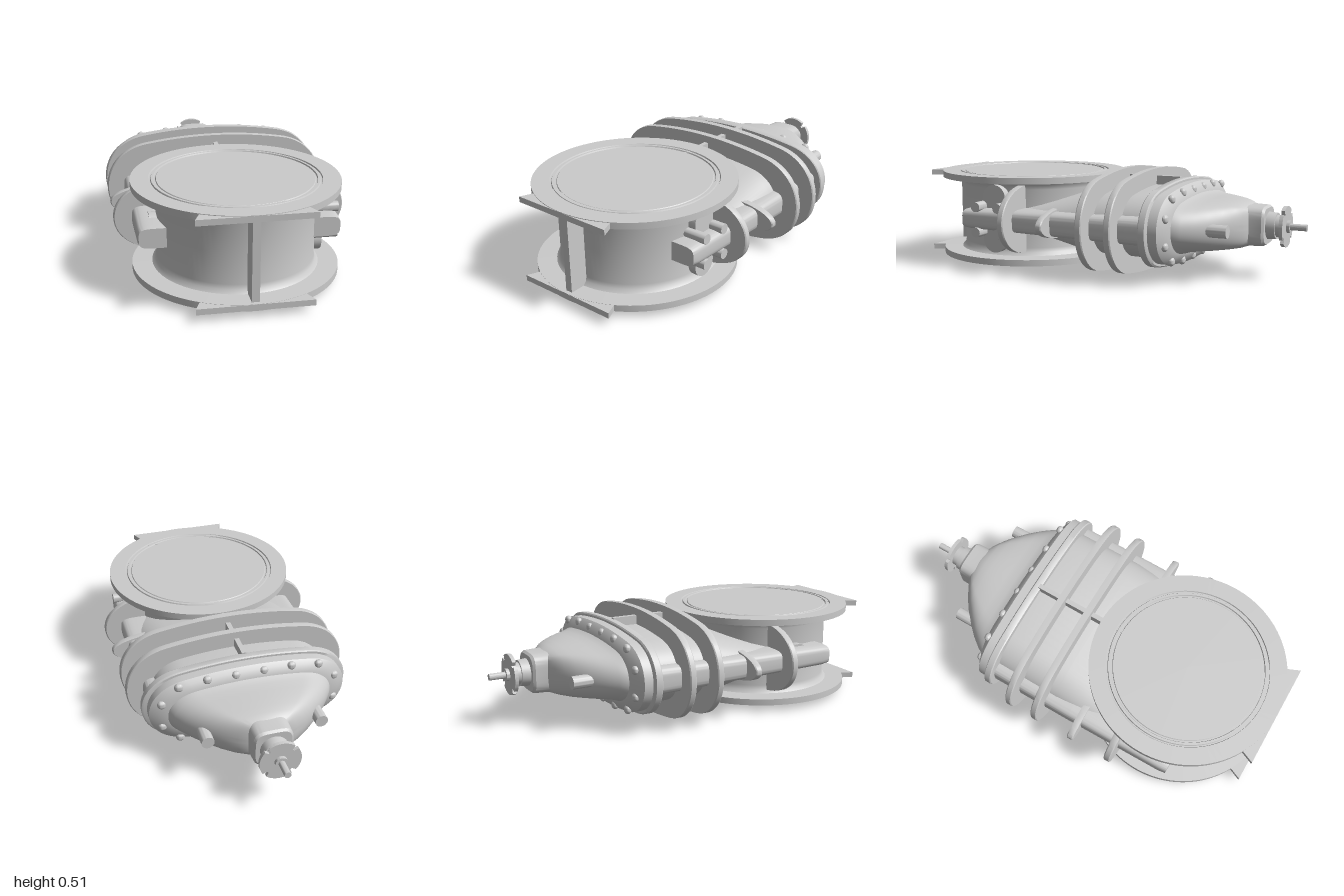
import * as THREE from 'three';
import { toCreasedNormals } from 'three/addons/utils/BufferGeometryUtils.js';

const MID = 0.255; // mid height of the whole valve
const PIPE_Z = 0.51; // pipe axis

export function createModel() {
  const valve = new THREE.Group();
  valve.name = 'gateValve';
  const mat = new THREE.MeshStandardMaterial({ color: 0xcccccc });

  function add(name, geometry, x = 0, y = MID, z = 0) {
    const mesh = new THREE.Mesh(toCreasedNormals(geometry, 0.55), mat);
    mesh.name = name;
    mesh.position.set(x, y, z);
    valve.add(mesh);
    return mesh;
  }

  // Unit cross-section: flat oval with gently bowed long sides
  const s = new THREE.Shape();
  s.moveTo(0.565, 0);
  s.bezierCurveTo(0.565, 0.11, 0.49, 0.205, 0.36, 0.225);
  s.quadraticCurveTo(0, 0.285, -0.36, 0.225);
  s.bezierCurveTo(-0.49, 0.205, -0.565, 0.11, -0.565, 0);
  s.bezierCurveTo(-0.565, -0.11, -0.49, -0.205, -0.36, -0.225);
  s.quadraticCurveTo(0, -0.285, 0.36, -0.225);
  s.bezierCurveTo(0.49, -0.205, 0.565, -0.11, 0.565, 0);
  const oval = s.getPoints(14).slice(0, -1).map(p => [p.x / 0.565, p.y / 0.255]);

  // Rounded rectangle cross-section
  const roundedBox = Array.from({ length: 48 }, (_, i) => {
    const a = (i / 48) * Math.PI * 2, c = Math.cos(a), d = Math.sin(a);
    return [Math.sign(c) * Math.abs(c) ** 0.5, Math.sign(d) * Math.abs(d) ** 0.5];
  });

  // Skin through sections [z, half width, half height], listed from front to back
  function loft(outline, sections) {
    const pos = [], idx = [], n = outline.length, last = sections.length - 1;
    for (const [z, hx, hy] of sections) for (const [x, y] of outline) pos.push(x * hx, y * hy, z);
    const front = pos.length / 3, back = front + 1;
    pos.push(0, 0, sections[0][0], 0, 0, sections[last][0]);
    for (let j = 0; j < n; j++) {
      const k = (j + 1) % n;
      for (let i = 0; i < last; i++) {
        const a = i * n + j, b = i * n + k, c = a + n, d = b + n;
        idx.push(a, c, b, b, c, d);
      }
      idx.push(front, j, k, back, last * n + k, last * n + j);
    }
    const g = new THREE.BufferGeometry();
    g.setAttribute('position', new THREE.Float32BufferAttribute(pos, 3));
    g.setIndex(idx);
    return g;
  }

  const rodZ = (r0, r1, len) => new THREE.CylinderGeometry(r0, r1, len, 32).rotateX(-Math.PI / 2);
  const rodX = (r, len) => new THREE.CylinderGeometry(r, r, len, 32).rotateZ(Math.PI / 2);

  // Pipe with end flanges, grooved sealing faces and closed ends
  const half = [[0.375, 0], [0.375, 0.15], [0.38, 0.172], [0.395, 0.188], [0.49, 0.19], [0.49, 0.222],
    [0.405, 0.222], [0.402, 0.216], [0.396, 0.216], [0.393, 0.222], [0.382, 0.222], [0.379, 0.216],
    [0.372, 0.216], [0.369, 0.22], [0, 0.22]];
  const profile = [...half.slice(1).reverse().map(([r, y]) => [r, -y]), ...half]
    .map(([r, y]) => new THREE.Vector2(r, y));
  add('flangedPipe', new THREE.LatheGeometry(profile, 96), 0, MID, PIPE_Z);

  // Flat feet on both flanges
  const foot = new THREE.Shape([[-0.22, -0.85], [-0.235, -0.93], [-0.265, -1], [0.265, -1], [0.235, -0.93], [0.22, -0.85]]
    .map(([x, y]) => new THREE.Vector2(x, y)));
  for (const y of [0.036, 0.446]) {
    const g = new THREE.ExtrudeGeometry(foot, { depth: 0.028, bevelEnabled: false }).rotateX(-Math.PI / 2);
    add('foot', g, 0, y, 0);
  }
  add('frontWeb', new THREE.BoxGeometry(0.036, 0.39, 0.11), 0, MID, 0.925);

  // Wedge chamber, thinning towards the pipe
  add('wedgeChamber', loft(oval, [[0.5, 0.36, 0.06], [0.29, 0.43, 0.085], [0, 0.44, 0.17], [-0.35, 0.44, 0.175]]));

  // Guide housings along both sides
  for (const side of [-1, 1]) {
    add('guideHousing', loft(roundedBox, [[0.66, 0.09, 0.048], [0.62, 0.095, 0.053], [0.1, 0.1, 0.062], [-0.35, 0.1, 0.07]]),
      side * 0.38);
  }

  // Stiffening ribs around the chamber
  for (const [z, hy, t] of [[-0.055, 0.255, 0.034], [-0.205, 0.255, 0.034], [0.16, 0.085, 0.034], [0.375, 0.195, 0.034]]) {
    add('stiffeningRib', loft(oval, [[z + t / 2, 0.56, hy], [z + t / 2 - 0.005, 0.565, hy],
      [z - t / 2 + 0.005, 0.565, hy], [z - t / 2, 0.56, hy]]));
  }
  for (const side of [-1, 1]) {
    add('longWeb', new THREE.BoxGeometry(0.024, 0.1, 0.5), 0, MID + side * 0.168, -0.1);
  }

  // Chamber flange and bonnet flange
  add('chamberFlange', loft(oval, [[-0.34, 0.515, 0.208], [-0.345, 0.52, 0.211], [-0.375, 0.52, 0.211], [-0.38, 0.51, 0.205]]));
  add('bonnetFlange', loft(oval, [[-0.38, 0.495, 0.195], [-0.425, 0.495, 0.195], [-0.445, 0.46, 0.178], [-0.462, 0.41, 0.145]]));

  // Bonnet dome
  add('bonnetDome', loft(oval, [[-0.44, 0.415, 0.152], [-0.47, 0.408, 0.138], [-0.5, 0.39, 0.13], [-0.55, 0.352, 0.127],
    [-0.6, 0.305, 0.124], [-0.65, 0.25, 0.12], [-0.69, 0.196, 0.114], [-0.72, 0.145, 0.105], [-0.745, 0.09, 0.09]]));

  // Bonnet bolts: rows above and below, plus the rounded ends
  const bolt = (x, y) => add('bonnetBolt', new THREE.SphereGeometry(0.022, 16, 10).scale(1, 1, 0.8), x, MID + y, -0.443);
  for (const y of [-0.165, 0.165]) for (const x of [-0.35, -0.21, -0.07, 0.07, 0.21, 0.35]) bolt(x, y * (Math.abs(x) > 0.3 ? 0.9 : 1));
  for (const x of [-0.435, 0.435]) for (const y of [-0.065, 0.065]) bolt(x, y);

  // Side bosses on the dome
  for (const x of [-0.278, 0.278]) add('bonnetBoss', rodZ(0.031, 0.031, 0.14), x, MID, -0.625);

  // Stuffing box, gland, top disc and stem
  add('stuffingBox', loft(roundedBox, [[-0.69, 0.115, 0.105], [-0.73, 0.1, 0.1], [-0.8, 0.097, 0.097], [-0.812, 0.088, 0.088]]));
  add('gland', rodZ(0.064, 0.068, 0.05), 0, MID, -0.83);
  add('glandNeck', rodZ(0.052, 0.055, 0.05), 0, MID, -0.87);
  const disc = new THREE.Shape();
  for (let i = 0; i < 96; i++) {
    const a = (i / 96) * Math.PI * 2;
    const r = (i + 12) % 24 < 3 ? 0.078 : 0.1; // four bolt slots
    disc[i ? 'lineTo' : 'moveTo'](r * Math.cos(a), r * Math.sin(a));
  }
  add('topDisc', new THREE.ExtrudeGeometry(disc, { depth: 0.018, bevelEnabled: false }), 0, MID, -0.904);
  add('stemCollar', rodZ(0.03, 0.03, 0.02), 0, MID, -0.91);
  add('stem', rodZ(0.016, 0.016, 0.12), 0, MID, -0.94);

  // Bypass bosses and studs on the left side of the pipe
  for (const side of [-1, 1]) {
    add('bypassBoss', rodX(0.066, 0.13), 0.345, MID + side * 0.108, 0.505);
    for (const z of [0.445, 0.573]) add('bypassStud', rodX(0.025, 0.17), 0.395, MID + side * 0.065, z);
  }
  add('drainBoss', rodX(0.066, 0.1), -0.36, MID, 0.505);

  return valve;
}
